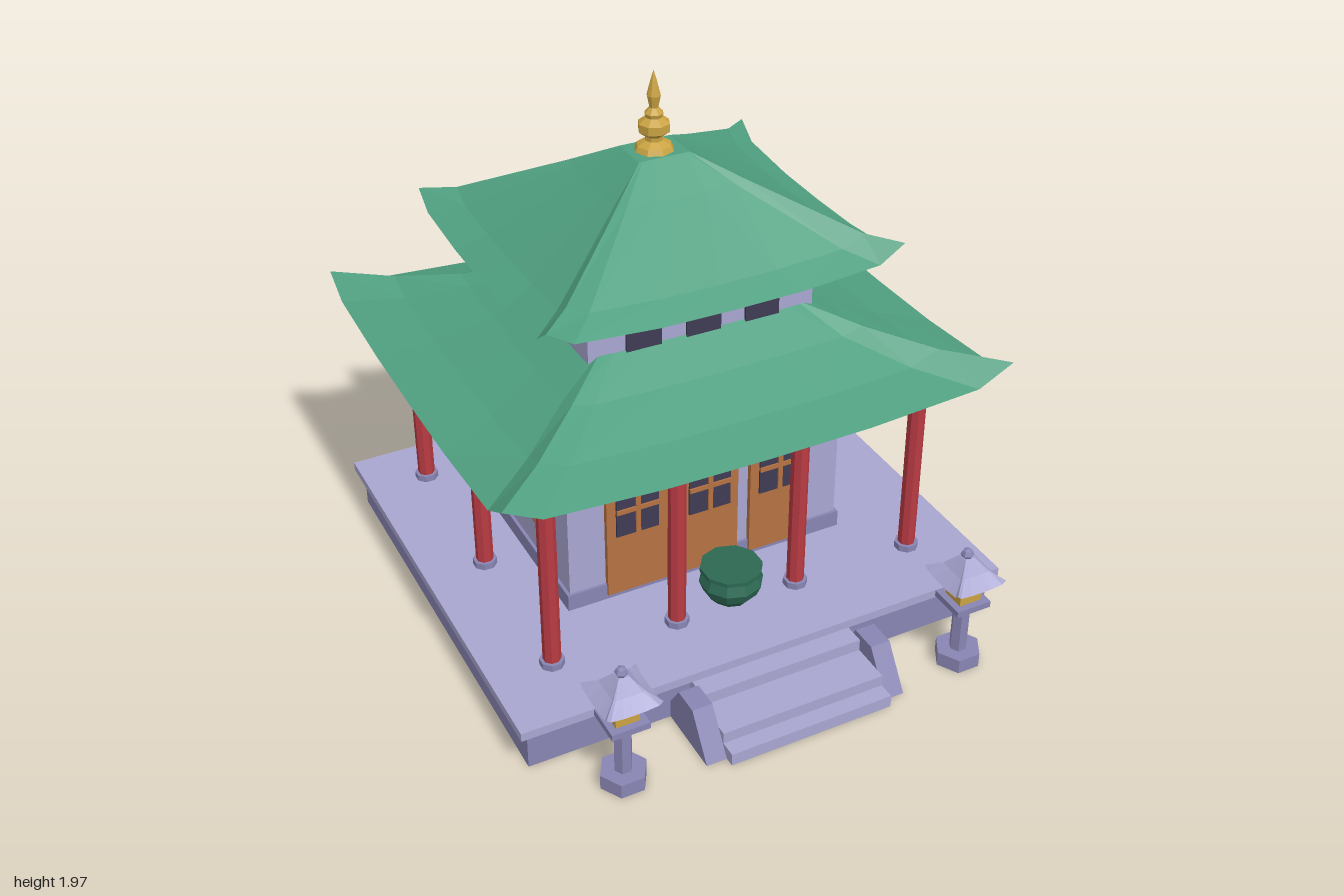
import * as THREE from 'three';

const mat = (name, color, extra = {}) => {
  const m = new THREE.MeshStandardMaterial({ color, ...extra });
  m.name = name;
  return m;
};

export function createModel() {
  const M = {
    stone: mat('paleStone', 0xa9a6d0),
    base: mat('darkStone', 0x8885b3),
    roof: mat('greenTile', 0x4f9f80, { side: THREE.DoubleSide }),
    lanternRoof: mat('paleLanternTile', 0xa9a6d1, { side: THREE.DoubleSide }),
    wood: mat('wood', 0xb67143),
    trim: mat('darkWood', 0x8e5533),
    red: mat('redLacquer', 0xb83a42),
    gold: mat('gold', 0xcaa342),
    dark: mat('windowDark', 0x3f3a53),
    urn: mat('urnGreen', 0x2c6853),
  };
  const root = new THREE.Group();
  root.name = 'pavilion';

  const flat = (g) => {
    const f = g.index ? g.toNonIndexed() : g;
    f.computeVertexNormals();
    return f;
  };
  const add = (name, geo, material, parent = root) => {
    const m = new THREE.Mesh(geo, material);
    m.name = name;
    parent.add(m);
    return m;
  };
  // Box given by its minimum and maximum on each axis
  const box = (name, material, x0, x1, y0, y1, z0, z1, parent = root) => {
    const m = add(name, new THREE.BoxGeometry(x1 - x0, y1 - y0, z1 - z0), material, parent);
    m.position.set((x0 + x1) / 2, (y0 + y1) / 2, (z0 + z1) / 2);
    return m;
  };
  // Upright faceted post
  const post = (name, material, r, y0, y1, x, z, sides, parent = root) => {
    const g = flat(new THREE.CylinderGeometry(r, r, y1 - y0, sides).rotateY(Math.PI / sides));
    add(name, g, material, parent).position.set(x, (y0 + y1) / 2, z);
  };
  // Faceted turned shape from [radius, height] pairs
  const turned = (name, material, pts, x, z, sides, parent = root) => {
    const g = new THREE.LatheGeometry(pts.map(([r, y]) => new THREE.Vector2(r, y)), sides);
    add(name, flat(g), material, parent).position.set(x, 0, z);
  };
  // Hipped roof with upturned corners; rings run from the eave inwards: [halfX, halfZ, midY, cornerLift]
  const roof = (name, material, rings, x, z, parent = root) => {
    const steps = [[-1, 1], [-0.857, 0.3], [-0.4, 0.04], [0, 0], [0.4, 0.04], [0.857, 0.3]];
    const dirs = [(t) => [t, 1], (t) => [1, -t], (t) => [-t, -1], (t) => [-1, t]];
    const n = dirs.length * steps.length;
    const pos = [], idx = [];
    for (const [hx, hz, y, lift] of rings)
      for (const dir of dirs)
        for (const [t, k] of steps) {
          const [u, v] = dir(t);
          pos.push(u * hx, y + lift * k, v * hz);
        }
    for (let r = 0; r < rings.length - 1; r++)
      for (let i = 0; i < n; i++) {
        const a = r * n + i, b = r * n + ((i + 1) % n);
        idx.push(a, b, b + n, a, b + n, a + n);
      }
    const g = new THREE.BufferGeometry();
    g.setAttribute('position', new THREE.Float32BufferAttribute(pos, 3));
    g.setIndex(idx);
    add(name, flat(g), material, parent).position.set(x, 0, z);
  };

  // Platform
  box('platformBase', M.base, -0.91, 0.91, 0, 0.15, -0.95, 0.7);
  box('platformSlab', M.stone, -0.94, 0.94, 0.147, 0.18, -0.98, 0.727);

  // Front steps and their cheek walls
  [[0.135, 0.79], [0.09, 0.865], [0.047, 1]].forEach(([h, z], i) =>
    box(`step${i + 1}`, M.stone, -0.31, 0.31, 0, h, 0.7, i === 1 ? 0.94 : z));
  const cheek = new THREE.Shape([[0.7, 0], [0.965, 0], [0.86, 0.157], [0.76, 0.157], [0.7, 0.07]]
    .map(([z, y]) => new THREE.Vector2(-z, y)));
  for (const x of [-0.385, 0.31]) {
    const g = new THREE.ExtrudeGeometry(cheek, { depth: 0.075, bevelEnabled: false });
    add('stepCheek', g.rotateY(Math.PI / 2), M.base).position.x = x;
  }

  // Hall walls
  box('hallWalls', M.stone, -0.54, 0.54, 0.18, 0.84, -0.62, 0.225);
  box('hallPlinth', M.base, -0.552, 0.552, 0.18, 0.245, -0.632, 0.236);

  // Doors with latticed windows
  for (const x of [-0.284, 0, 0.284]) {
    const door = new THREE.Group();
    door.name = 'door';
    door.position.x = x;
    root.add(door);
    box('doorPanel', M.wood, -0.117, 0.117, 0.2, 0.71, 0.2, 0.245, door);
    box('doorWindow', M.dark, -0.082, 0.082, 0.45, 0.66, 0.245, 0.252, door);
    box('mullion', M.wood, -0.009, 0.009, 0.45, 0.66, 0.245, 0.258, door);
    box('crossbar', M.wood, -0.082, 0.082, 0.546, 0.564, 0.245, 0.258, door);
  }
  box('doorLintel', M.trim, -0.43, 0.43, 0.708, 0.75, 0.2, 0.256);
  box('goldPlaque', M.gold, -0.13, 0.13, 0.75, 0.84, 0.22, 0.248);

  // Side windows
  for (const s of [-1, 1])
    for (const z of [-0.027, -0.37]) {
      const pane = box('sideWindow', M.dark, -0.01, 0.01, 0.4, 0.665, z - 0.101, z + 0.101);
      pane.position.x = s * 0.549;
      const bar = box('sideMullion', M.wood, -0.01, 0.01, 0.4, 0.665, z - 0.009, z + 0.009);
      bar.position.x = s * 0.553;
    }

  // Columns around the veranda
  for (const x of [-0.713, -0.238, 0.238, 0.713])
    for (const z of [0.46, -0.152, -0.765]) {
      if (z === -0.152 && Math.abs(x) < 0.5) continue;
      post('columnFoot', M.base, 0.044, 0.18, 0.205, x, z, 8);
      post('column', M.red, 0.032, 0.205, 0.85, x, z, 8);
    }

  // Beams under the lower roof
  box('lowerBeam', M.wood, -0.755, 0.755, 0.845, 0.906, -0.81, 0.505);
  box('upperBeam', M.trim, -0.782, 0.782, 0.906, 0.94, -0.835, 0.525);

  // Lower roof
  roof('lowerRoof', M.roof, [
    [0.94, 0.84, 0.936, 0.099], [0.746, 0.67, 0.985, 0.065], [0.55, 0.49, 1.07, 0.03], [0.37, 0.33, 1.17, 0],
  ], 0, -0.162);

  // Upper storey
  box('upperWalls', M.stone, -0.427, 0.427, 0.95, 1.31, -0.525, 0.187);
  for (const x of [-0.225, 0, 0.225])
    box('upperWindow', M.dark, x - 0.065, x + 0.065, 1.15, 1.26, 0.187, 0.196);
  box('cornice', M.trim, -0.44, 0.44, 1.306, 1.348, -0.537, 0.199);

  // Upper roof and finial
  roof('upperRoof', M.roof, [
    [0.655, 0.568, 1.342, 0.088], [0.545, 0.475, 1.39, 0.06], [0.235, 0.2, 1.585, 0.02],
    [0.095, 0.075, 1.68, 0], [0.001, 0.001, 1.68, 0],
  ], 0, -0.174);
  turned('finial', M.gold, [
    [0, 1.675], [0.072, 1.678], [0.062, 1.698], [0.032, 1.715], [0.032, 1.73], [0.056, 1.748], [0.056, 1.778],
    [0.03, 1.798], [0.034, 1.812], [0.016, 1.832], [0.025, 1.875], [0.012, 1.925], [0, 1.965],
  ], 0, -0.176, 8);

  // Urn
  turned('urn', M.urn, [
    [0, 0.18], [0.07, 0.18], [0.1, 0.215], [0.116, 0.255], [0.1, 0.295], [0.113, 0.3], [0.113, 0.315], [0, 0.315],
  ], 0, 0.415, 10);

  // Stone lanterns
  for (const s of [-1, 1]) {
    const lantern = new THREE.Group();
    lantern.name = 'lantern';
    lantern.position.set(s * 0.656, 0, 0.895);
    root.add(lantern);
    post('lanternFoot', M.base, 0.084, 0, 0.055, 0, 0, 6, lantern);
    post('lanternPost', M.base, 0.032, 0.055, 0.258, 0, 0, 6, lantern);
    box('lanternShelf', M.base, -0.068, 0.068, 0.256, 0.28, -0.068, 0.068, lantern);
    box('lanternLight', M.gold, -0.043, 0.043, 0.28, 0.372, -0.043, 0.043, lantern);
    roof('lanternRoof', M.lanternRoof, [
      [0.099, 0.099, 0.365, 0.018], [0.055, 0.055, 0.405, 0.006], [0.018, 0.018, 0.455, 0], [0.001, 0.001, 0.455, 0],
    ], 0, 0, lantern);
    turned('lanternKnob', M.base, [[0, 0.445], [0.016, 0.45], [0.024, 0.465], [0.016, 0.48], [0, 0.487]], 0, 0, 6, lantern);
  }
  return root;
}
